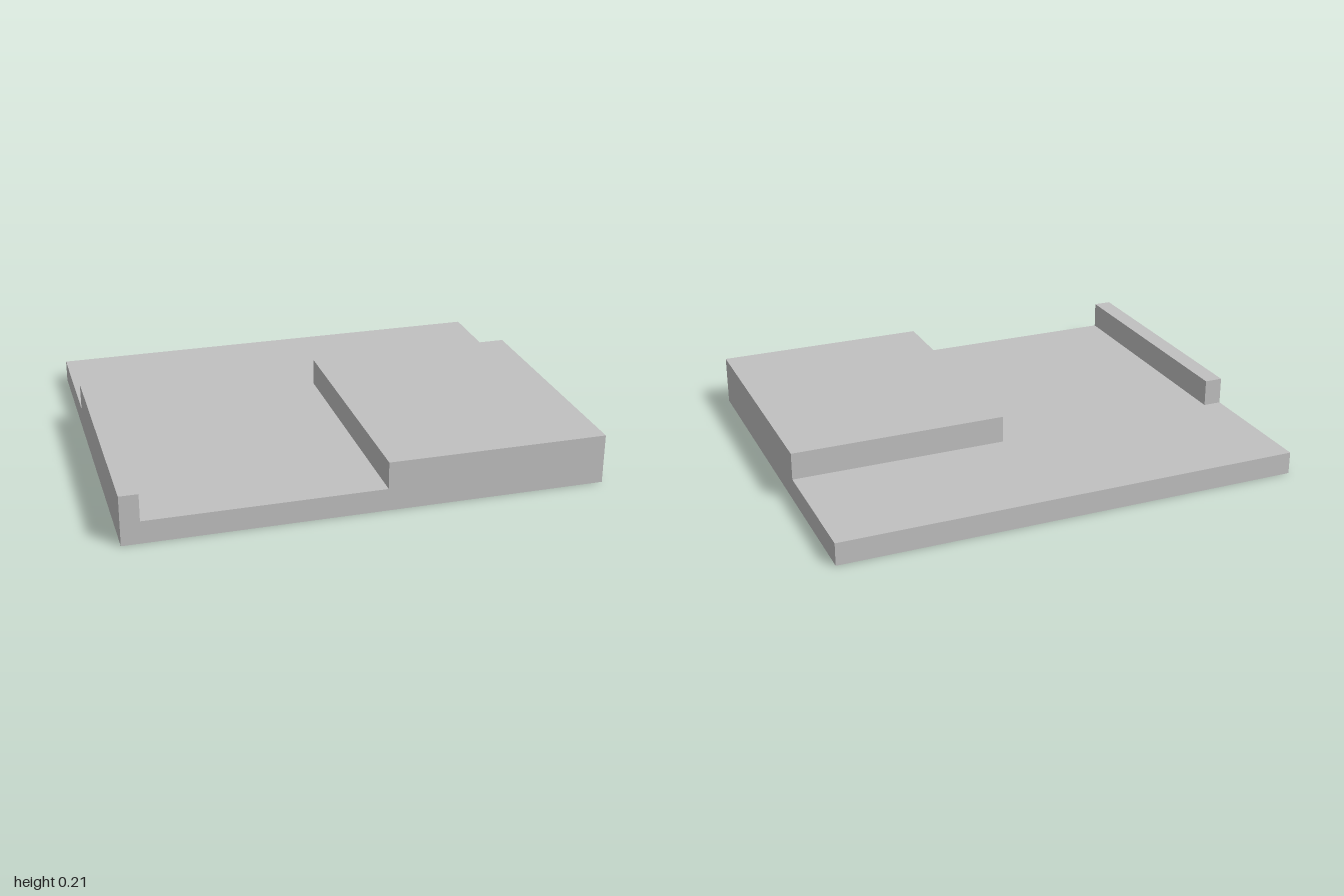
import * as THREE from 'three';

export function createModel() {
  const model = new THREE.Group();
  model.name = 'steppedPlate';

  const lightGrey = new THREE.MeshStandardMaterial({ color: 0xc0c0c0 });
  lightGrey.name = 'lightGrey';

  // Adds a block spanning the given [min, max] ranges
  function block(name, [x0, x1], [y0, y1], [z0, z1]) {
    const geometry = new THREE.BoxGeometry(x1 - x0, y1 - y0, z1 - z0);
    const mesh = new THREE.Mesh(geometry, lightGrey);
    mesh.position.set((x0 + x1) / 2, (y0 + y1) / 2, (z0 + z1) / 2);
    mesh.name = name;
    model.add(mesh);
  }

  const depth = 0.84;
  const plateTop = 0.096;
  const raised = [plateTop, 0.212];
  const raisedDepth = [-0.267, depth];

  // Flat plate with a raised platform on the left and a narrow rim on the right
  block('basePlate', [-1, 1], [0, plateTop], [-depth, depth]);
  block('raisedPlatform', [0.07, 1], raised, raisedDepth);
  block('sideRim', [-1, -0.922], raised, raisedDepth);

  return model;
}
